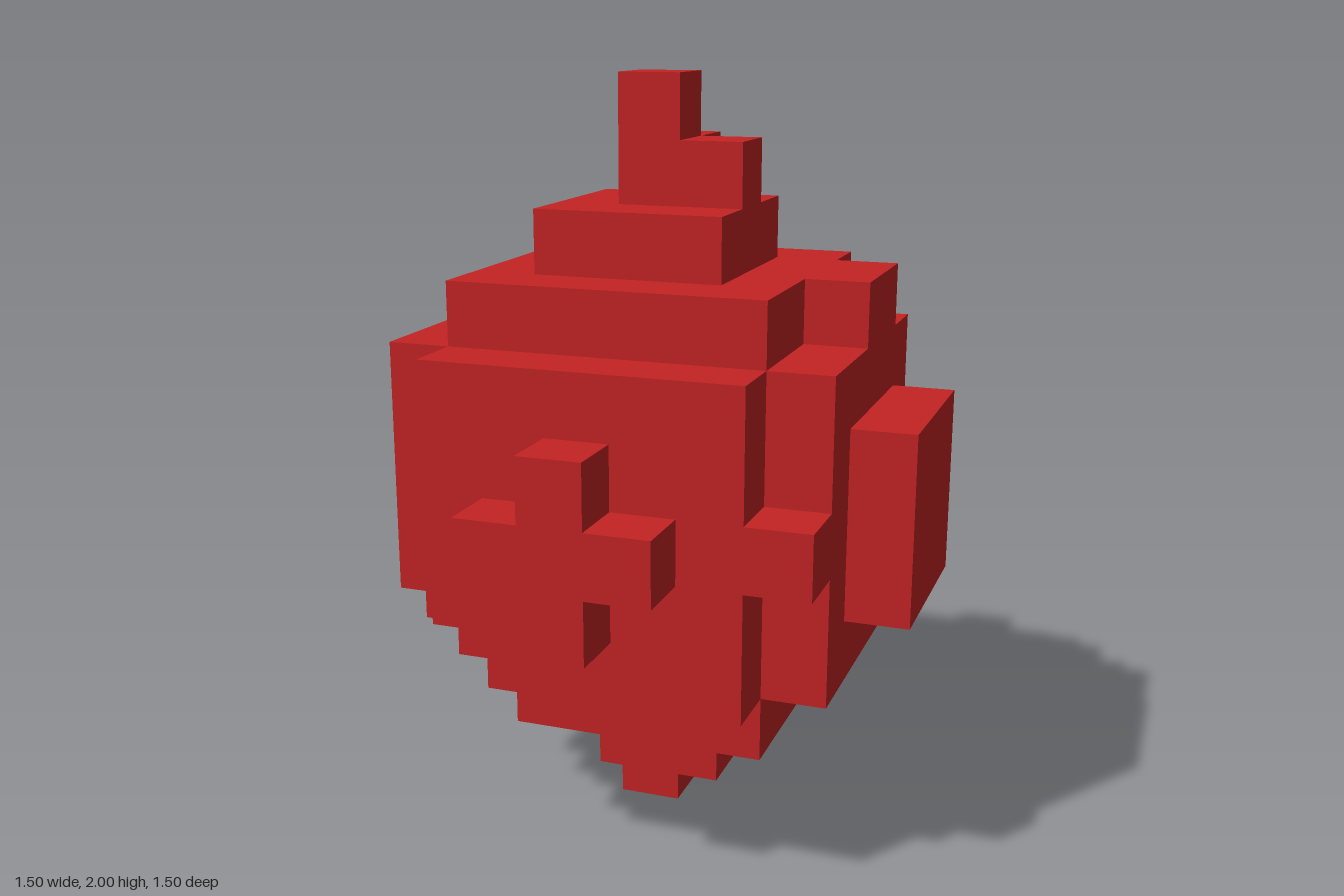
import * as THREE from 'three';

const U = 1 / 6; // edge length of one block

export function createModel() {
  const red = new THREE.MeshStandardMaterial({ color: 0xc42324 });
  red.name = 'red';
  const model = new THREE.Group();
  model.name = 'blockOrnament';

  // Each box gives the first and last block on each axis: [x0, x1, y0, y1, z0, z1]
  function part(name, boxes) {
    const group = new THREE.Group();
    group.name = name;
    for (const [x0, x1, y0, y1, z0, z1] of boxes) {
      const geometry = new THREE.BoxGeometry((x1 - x0 + 1) * U, (y1 - y0 + 1) * U, (z1 - z0 + 1) * U);
      const mesh = new THREE.Mesh(geometry, red);
      mesh.name = name + 'Block';
      mesh.position.set((x0 + x1) / 2 * U, (y0 + y1 + 1) / 2 * U, (z0 + z1) / 2 * U);
      group.add(mesh);
    }
    model.add(group);
  }

  // Stepped foot, with the front corner at -x cut away
  part('footTip', [[0, 0, 0, 0, 0, 0]]);
  part('lowerStep', [[-1, 1, 1, 1, -1, 0], [0, 1, 1, 1, 1, 1]]);
  part('upperStep', [[-2, 2, 2, 2, -2, 1], [-1, 2, 2, 2, 2, 2]]);

  // Main body: a core with a wall on each side, open at the upright edges
  part('core', [[-2, 2, 3, 7, -2, 2]]);
  part('frontWall', [[-2, 2, 4, 7, 3, 3], [-1, 2, 3, 3, 3, 3]]);
  part('backWall', [[-2, 2, 3, 7, -3, -3]]);
  part('leftWall', [[3, 3, 3, 7, -2, 2]]);
  part('rightWall', [[-3, -3, 4, 7, -2, 2], [-3, -3, 3, 3, -2, 1]]);

  // Single blocks in the upright edges
  part('edgeStuds', [-3, 3].map((z) => [3, 3, 5, 5, z, z]));

  // Raised shapes on the four walls
  part('frontCross', [[-1, 1, 5, 5, 4, 4], [0, 0, 4, 4, 4, 4], [0, 0, 6, 6, 4, 4]]);
  part('backPanel', [[-1, 1, 4, 6, -4, -4]]);
  part('leftPanel', [[4, 4, 4, 6, -1, 1]]);
  part('rightHook', [[-4, -4, 5, 5, -1, 0], [-4, -4, 6, 6, 0, 0]]);

  // Stepped top with side tabs
  part('shoulder', [[-2, 2, 8, 8, -2, 2]]);
  part('shoulderTabs', [[3, 3, 8, 8, -1, 0], [0, 0, 8, 8, -3, -3]]);
  part('cap', [[-1, 1, 9, 9, -1, 1]]);
  part('stem', [[0, 0, 10, 11, 0, 0]]);
  part('stemTabs', [[1, 1, 10, 10, 0, 0], [0, 0, 10, 10, -1, -1]]);

  return model;
}
